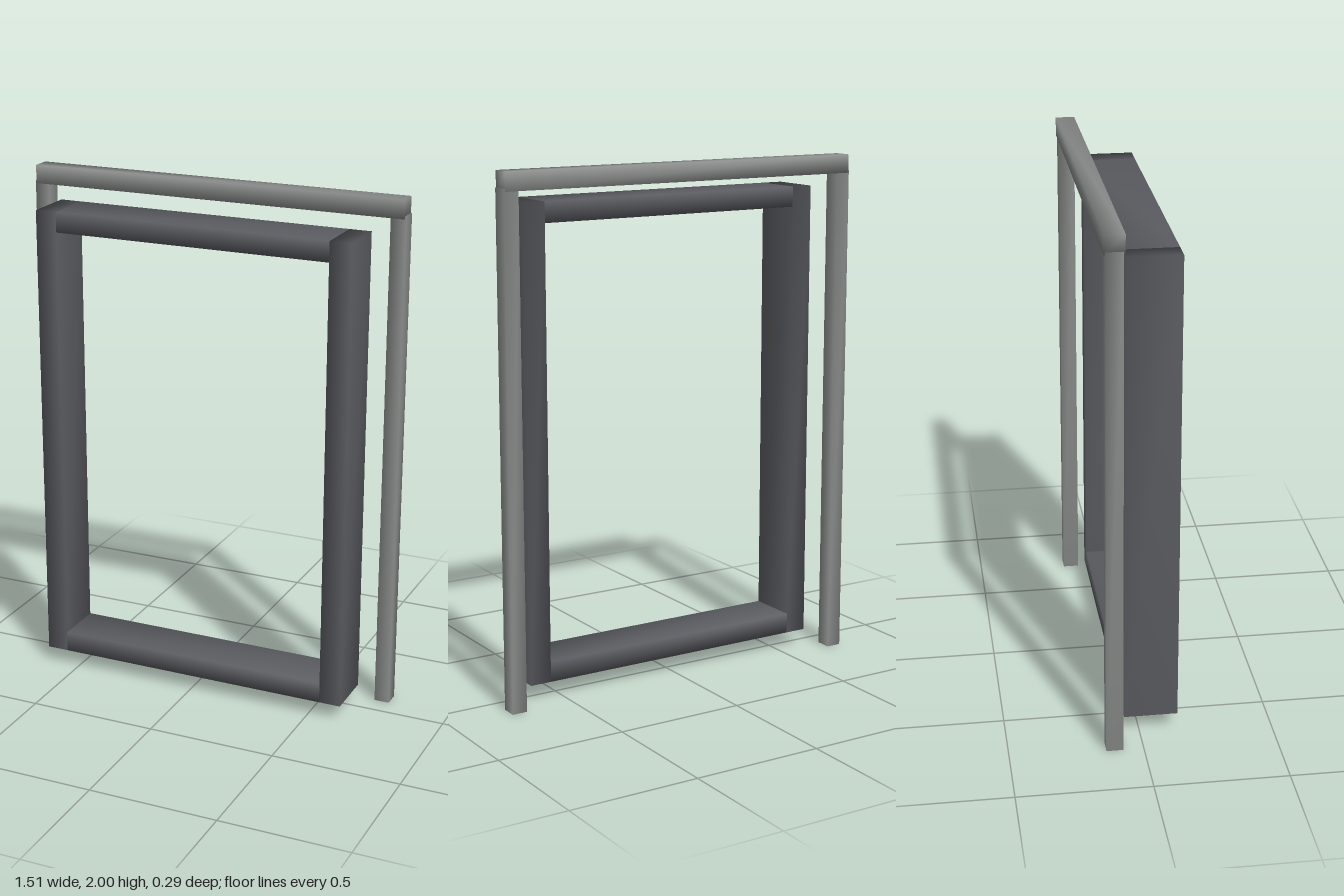
import * as THREE from 'three';
import { mergeVertices } from 'three/addons/utils/BufferGeometryUtils.js';

const frameMaterial = new THREE.MeshStandardMaterial({ color: 0x5a5b60 });
const trimMaterial = new THREE.MeshStandardMaterial({ color: 0x8a8d8b });

// Bar between two corners, with normals shared across its edges
function bar(name, [x0, y0, z0], [x1, y1, z1], material) {
  const box = new THREE.BoxGeometry(x1 - x0, y1 - y0, z1 - z0);
  box.deleteAttribute('normal');
  box.deleteAttribute('uv');
  const geometry = mergeVertices(box);
  geometry.computeVertexNormals();
  const mesh = new THREE.Mesh(geometry, material);
  mesh.name = name;
  mesh.position.set((x0 + x1) / 2, (y0 + y1) / 2, (z0 + z1) / 2);
  return mesh;
}

export function createModel() {
  const model = new THREE.Group();
  model.name = 'doorFrame';

  // Deep inner frame: two jambs with a rail above and below
  const innerFrame = new THREE.Group();
  innerFrame.name = 'innerFrame';
  const back = -0.057, front = 0.145;
  innerFrame.add(
    bar('leftJamb', [0.548, 0.063, back], [0.633, 1.878, front], frameMaterial),
    bar('rightJamb', [-0.633, 0.063, back], [-0.548, 1.878, front], frameMaterial),
    bar('topRail', [-0.548, 1.8, back], [0.548, 1.878, front], frameMaterial),
    bar('bottomRail', [-0.548, 0.063, back], [0.548, 0.143, front], frameMaterial)
  );

  // Slim outer trim behind it: two posts tucked into a header
  const outerTrim = new THREE.Group();
  outerTrim.name = 'outerTrim';
  outerTrim.add(
    bar('leftPost', [0.696, 0, -0.14], [0.755, 1.939, -0.077], trimMaterial),
    bar('rightPost', [-0.755, 0, -0.14], [-0.696, 1.939, -0.077], trimMaterial),
    bar('header', [-0.749, 1.929, -0.145], [0.749, 2, -0.071], trimMaterial)
  );

  model.add(innerFrame, outerTrim);
  return model;
}
